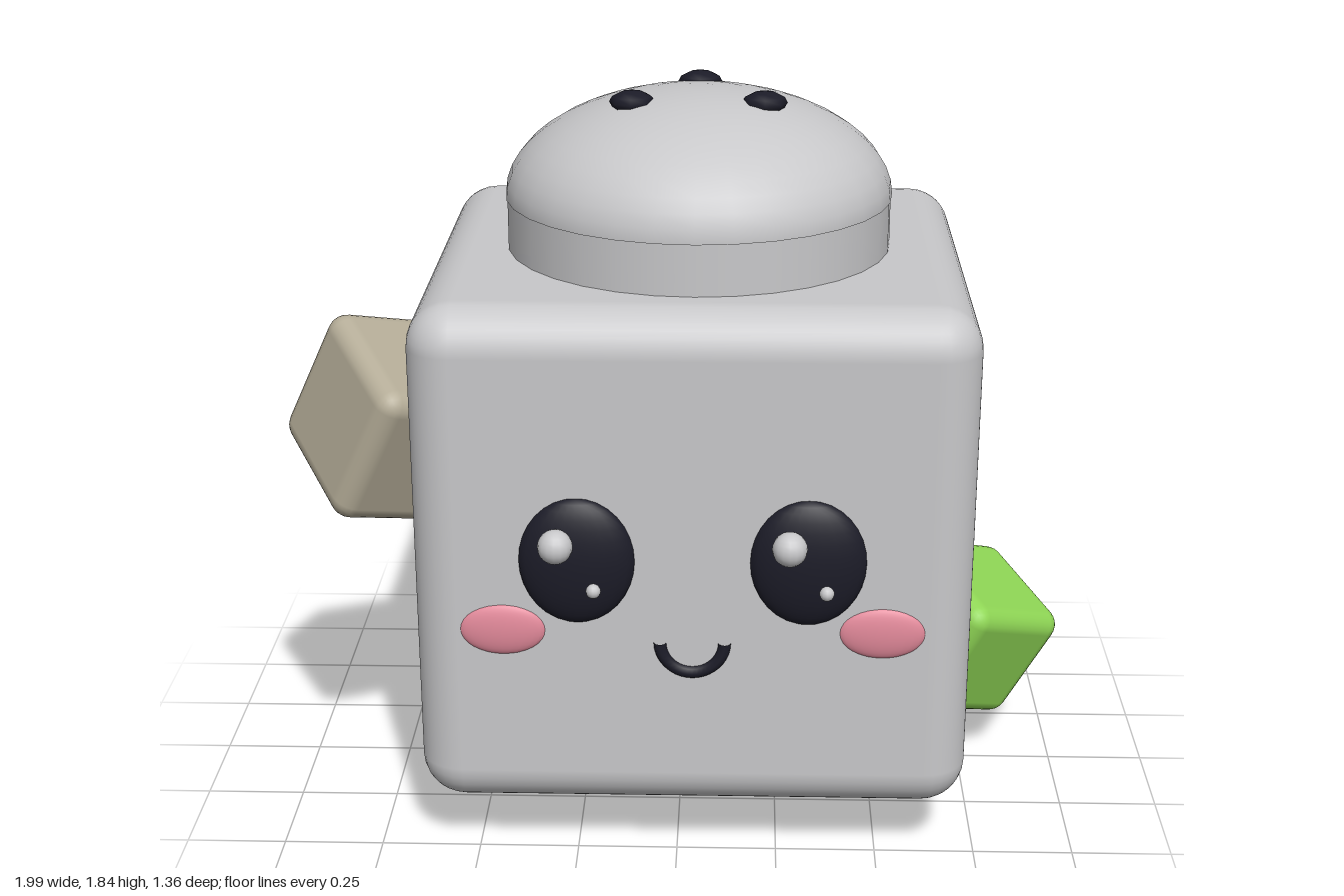
import * as THREE from 'three';
import { RoundedBoxGeometry } from 'three/addons/geometries/RoundedBoxGeometry.js';

const mat = (name, color) => {
  const m = new THREE.MeshStandardMaterial({ color });
  m.name = name;
  return m;
};

export function createModel() {
  const grey = mat('light grey', 0xc8c8ca);
  const dark = mat('ink black', 0x1c1c28);
  const pink = mat('blush pink', 0xe38a9b);
  const green = mat('leaf green', 0x8fd655);
  const beige = mat('stone beige', 0xb5ad98);

  const model = new THREE.Group();
  model.name = 'cubeCharacter';
  const CX = 0.04, CZ = -0.047; // body axis

  const add = (name, geometry, material, x, y, z) => {
    const mesh = new THREE.Mesh(geometry, material);
    mesh.name = name;
    mesh.position.set(x, y, z);
    model.add(mesh);
    return mesh;
  };
  // Sphere stretched to three radii
  const blob = (name, material, [x, y, z], [rx, ry, rz], w = 24, h = 16) =>
    add(name, new THREE.SphereGeometry(1, w, h).scale(rx, ry, rz), material, x, y, z);
  // Rounded cube turned so its edges follow two given directions
  const tiltedCube = (name, material, [x, y, z], size, edge1, edge2) => {
    const a = new THREE.Vector3(...edge1).normalize();
    const c = new THREE.Vector3().crossVectors(a, new THREE.Vector3(...edge2)).normalize();
    const b = new THREE.Vector3().crossVectors(c, a);
    const cube = add(name, new RoundedBoxGeometry(size, size, size, 3, 0.05), material, x, y, z);
    cube.quaternion.setFromRotationMatrix(new THREE.Matrix4().makeBasis(a, b, c));
  };

  // Body
  add('body', new RoundedBoxGeometry(1.355, 1.29, 1.262, 4, 0.11), grey, CX, 0.8, CZ);

  // Lid: straight rim and shallow dome
  add('lidRim', new THREE.CylinderGeometry(0.483, 0.483, 0.18, 32), grey, CX, 1.5, CZ);
  add('lidDome', new THREE.SphereGeometry(0.486, 32, 12, 0, Math.PI * 2, 0, Math.PI / 2)
    .scale(1, 0.265 / 0.486, 1), grey, CX, 1.572, CZ);

  // Three shaker holes
  for (const [x, z] of [[-0.163, 0.03], [0.163, 0.03], [0, -0.215]])
    blob('shakerHole', dark, [CX + x, 1.819, z], [0.056, 0.027, 0.056], 8, 6);

  // Feet, eyes and cheeks on both sides
  for (const s of [-1, 1]) {
    blob('foot', grey, [CX + s * 0.324, 0.118, 0.035], [0.166, 0.115, 0.21], 12, 8);
    const ex = CX + s * 0.276;
    blob('eye', dark, [ex, 0.833, 0.58], [0.14, 0.161, 0.05]);
    blob('eyeHighlight', grey, [ex - 0.046, 0.892, 0.638], [0.042, 0.042, 0.042], 16, 12);
    blob('eyeGlint', grey, [ex + 0.043, 0.781, 0.643], [0.018, 0.018, 0.018], 12, 8);
    blob('cheek', pink, [CX + s * 0.457, 0.65, 0.58], [0.105, 0.066, 0.02]);
  }

  // Smile
  const smile = new THREE.TorusGeometry(0.078, 0.016, 8, 20, Math.PI).rotateZ(Math.PI);
  add('mouth', smile, dark, CX, 0.62, 0.582);

  // Tilted cubes stuck in the sides
  tiltedCube('greenCube', green, [0.74, 0.372, -0.05], 0.345, [-0.15, -0.28, -0.03], [-0.23, 0.08, 0.18]);
  tiltedCube('stoneCube', beige, [-0.705, 1.05, 0.206], 0.385, [-0.15, -0.32, -0.057], [0.17, -0.13, 0.28]);

  return model;
}
